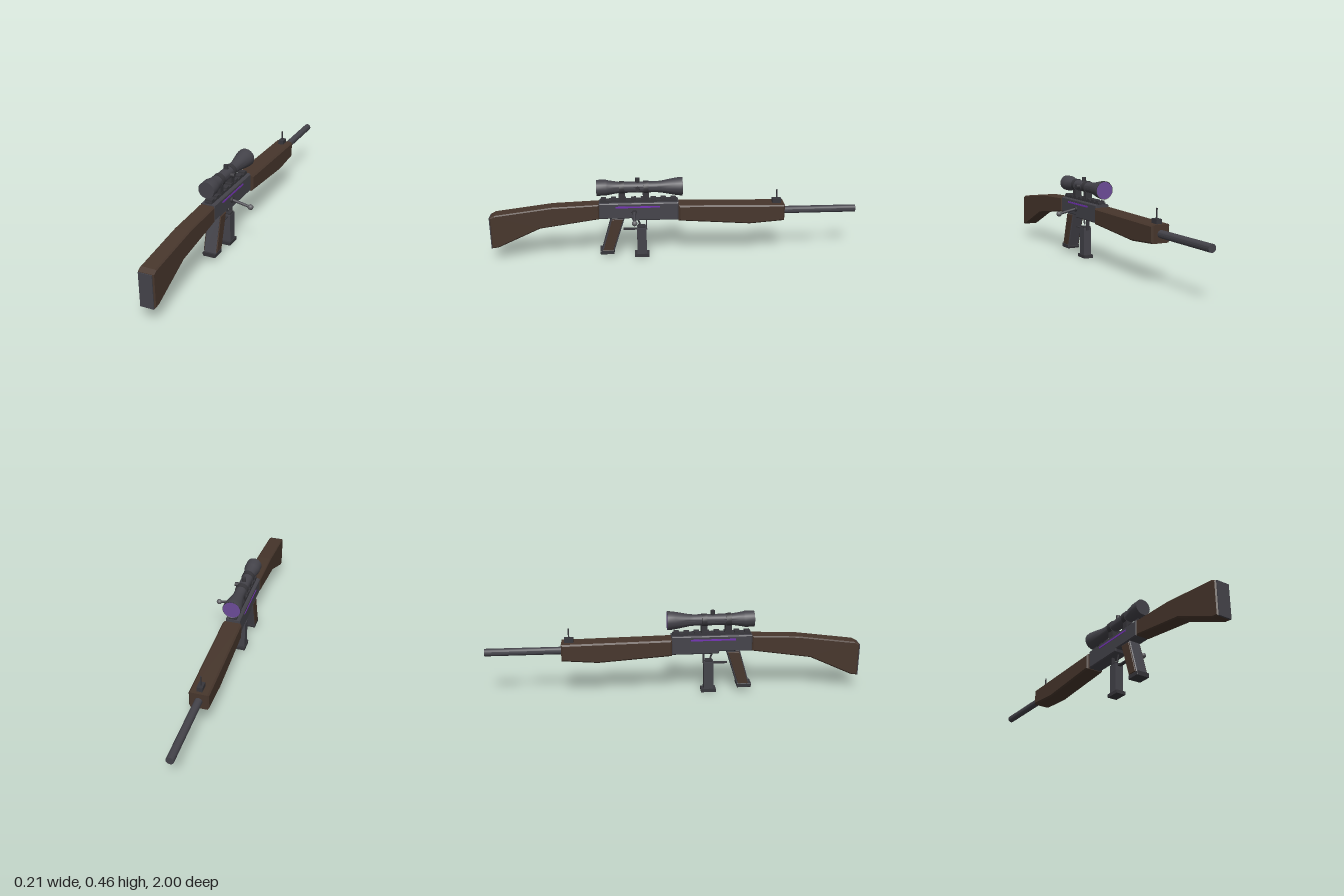
import * as THREE from 'three';
import { toCreasedNormals } from 'three/addons/utils/BufferGeometryUtils.js';

const mat = (name, color) => {
  const m = new THREE.MeshStandardMaterial({ color });
  m.name = name;
  return m;
};

export function createModel() {
  const wood = mat('dark walnut', 0x47362c);
  const metal = mat('gunmetal', 0x44434a);
  const dark = mat('dark steel', 0x37363b);
  const steel = mat('handle steel', 0x606064);
  const lensMat = mat('violet glass', 0x6c4b98);
  const accent = mat('violet accent', 0x7434b4);

  const model = new THREE.Group();
  model.name = 'rifle';
  const body = new THREE.Group(); // everything is built around the bore plane
  body.name = 'body';
  body.position.x = -0.057;
  model.add(body);

  const add = (name, geo, material, x = 0, y = 0, z = 0) => {
    const m = new THREE.Mesh(geo, material);
    m.name = name;
    m.position.set(x, y, z);
    body.add(m);
    return m;
  };
  const box = (name, material, w, h, d, x, y, z) =>
    add(name, new THREE.BoxGeometry(w, h, d), material, x, y, z);

  // Side profile of [z, y] points, extruded across x with a chamfer
  const profile = (name, material, pts, width, bevel = 0, x = 0) => {
    const shape = new THREE.Shape(pts.map(([z, y]) => new THREE.Vector2(z, y)));
    const depth = width - 2 * bevel;
    const geo = new THREE.ExtrudeGeometry(shape, {
      depth, bevelEnabled: bevel > 0, bevelSize: bevel,
      bevelThickness: bevel, bevelOffset: -bevel, bevelSegments: 1,
    });
    geo.translate(0, 0, -depth / 2);
    geo.rotateY(-Math.PI / 2);
    return add(name, geo, material, x);
  };

  // Turned part along z from [radius, z] points, rear end last
  const turned = (name, material, pts, y, sides = 20) => {
    const geo = new THREE.LatheGeometry(pts.map(([r, z]) => new THREE.Vector2(r, z)), sides);
    geo.rotateX(Math.PI / 2);
    return add(name, toCreasedNormals(geo, 0.6), material, 0, y);
  };

  // Straight rod between two points
  const rod = (name, material, a, b, r, sides = 10) => {
    const p = new THREE.Vector3(...a), q = new THREE.Vector3(...b);
    const m = add(name, new THREE.CylinderGeometry(r, r, p.distanceTo(q), sides), material);
    m.position.copy(p).lerp(q, 0.5);
    m.quaternion.setFromUnitVectors(new THREE.Vector3(0, 1, 0), q.sub(p).normalize());
    return m;
  };

  // Woodwork
  profile('stock', wood, [
    [0.41, 0.237], [0.73, 0.19], [0.96, 0.085], [0.995, 0.08], [0.995, 0.257],
    [0.97, 0.27], [0.66, 0.31], [0.41, 0.32],
  ], 0.082, 0.006);
  box('buttPlate', metal, 0.07, 0.175, 0.008, 0, 0.1675, 0.996);
  profile('handguard', wood, [
    [-0.6, 0.21], [-0.41, 0.195], [-0.02, 0.222], [-0.02, 0.31], [-0.6, 0.3],
  ], 0.102, 0.008);

  // Receiver with glowing side lines
  profile('receiver', metal, [
    [-0.02, 0.225], [0.23, 0.225], [0.235, 0.238], [0.41, 0.238], [0.41, 0.325], [-0.02, 0.325],
  ], 0.078, 0.005);
  for (const s of [-1, 1]) {
    box('accentLine', accent, 0.004, 0.009, 0.24, s * 0.0395, 0.304, 0.2);
  }

  // Top rail
  box('rail', dark, 0.04, 0.014, 0.42, 0, 0.329, 0.195);
  for (let i = 0; i < 8; i++) {
    box('railTooth', dark, 0.04, 0.009, 0.028, 0, 0.34, 0.385 - i * 0.054);
  }

  // Barrel and front sight
  turned('barrel', metal, [
    [0, -1], [0.02, -1], [0.02, -0.59], [0, -0.59],
  ], 0.255, 16);
  box('sightBase', dark, 0.03, 0.024, 0.048, 0, 0.312, -0.56);
  box('sightPost', dark, 0.006, 0.055, 0.007, 0, 0.348, -0.56);

  // Scope
  const scopeY = 0.405;
  turned('scope', metal, [
    [0, -0.037], [0.046, -0.037], [0.05, -0.042], [0.05, -0.03], [0.046, 0.0],
    [0.032, 0.075], [0.03, 0.1], [0.03, 0.3], [0.04, 0.36], [0.043, 0.37],
    [0.043, 0.42], [0.04, 0.42], [0, 0.419],
  ], scopeY);
  const lens = add('frontLens', new THREE.CircleGeometry(0.047, 20), lensMat, 0, scopeY, -0.0425);
  lens.rotation.y = Math.PI;
  for (const z of [0.155, 0.285]) {
    box('scopeMount', dark, 0.036, 0.045, 0.034, 0, 0.358, z);
    turned('scopeRing', dark, [
      [0.029, z - 0.014], [0.034, z - 0.014], [0.034, z + 0.014], [0.029, z + 0.014],
    ], scopeY);
  }
  rod('topTurret', dark, [0, 0.42, 0.2], [0, 0.456, 0.2], 0.012, 12);
  rod('sideTurret', dark, [0.02, scopeY, 0.2], [0.05, scopeY, 0.2], 0.012, 12);

  // Bolt handle
  rod('boltBoss', dark, [0.03, 0.275, 0.22], [0.05, 0.275, 0.22], 0.014, 12);
  rod('boltHandle', metal, [0.035, 0.277, 0.22], [0.147, 0.254, 0.22], 0.0075);
  add('boltKnob', new THREE.SphereGeometry(0.015, 14, 10), steel, 0.147, 0.254, 0.22);

  // Raked pistol grip with wooden side panels
  profile('gripFrame', metal, [
    [0.335, 0.04], [0.403, 0.04], [0.345, 0.24], [0.272, 0.24],
  ], 0.066, 0.004);
  for (const s of [-1, 1]) {
    profile('gripPanel', wood, [
      [0.34, 0.05], [0.394, 0.05], [0.341, 0.232], [0.281, 0.232],
    ], 0.008, 0.002, s * 0.034);
  }
  profile('gripBase', dark, [
    [0.333, 0.036], [0.336, 0.026], [0.41, 0.026], [0.412, 0.048], [0.335, 0.048],
  ], 0.072, 0.002);

  // Trigger and guard
  box('guardBottom', dark, 0.02, 0.006, 0.13, 0, 0.162, 0.217);
  box('guardFront', dark, 0.02, 0.07, 0.006, 0, 0.195, 0.154);
  rod('trigger', dark, [0, 0.228, 0.203], [0, 0.187, 0.19], 0.005, 8);

  // Magazine
  box('magazine', metal, 0.046, 0.16, 0.052, 0, 0.092, 0.181);
  box('magazineLip', dark, 0.04, 0.012, 0.04, 0, 0.174, 0.181);
  box('magazineBase', dark, 0.054, 0.018, 0.08, 0, 0.009, 0.181);

  return model;
}
